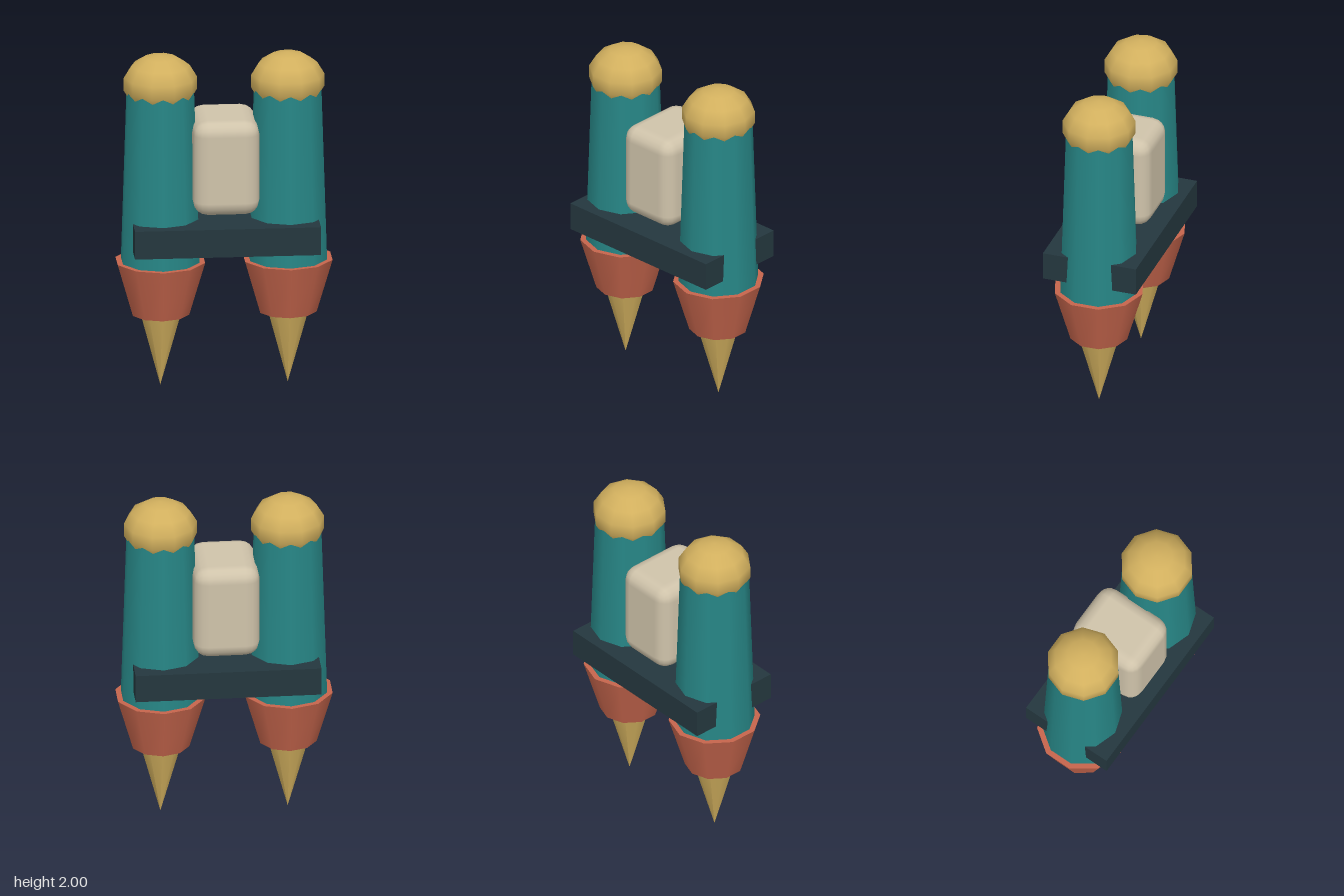
import * as THREE from 'three';
import { RoundedBoxGeometry } from 'three/addons/geometries/RoundedBoxGeometry.js';

const SIDES = 10;

function material(name, color) {
  const m = new THREE.MeshStandardMaterial({ color });
  m.name = name;
  return m;
}

function part(name, geometry, mat, y, parent) {
  const mesh = new THREE.Mesh(geometry, mat);
  mesh.name = name;
  mesh.position.y = y;
  parent.add(mesh);
  return mesh;
}

// Tapered round part spanning two heights, added to the parent
function taper(name, rTop, rBottom, yBottom, yTop, mat, parent) {
  const geometry = new THREE.CylinderGeometry(rTop, rBottom, yTop - yBottom, SIDES);
  return part(name, geometry, mat, (yTop + yBottom) / 2, parent);
}

export function createModel() {
  const teal = material('teal', 0x278686);
  const gold = material('gold', 0xd2b05e);
  const coral = material('coral', 0xc5654c);
  const dark = material('dark slate', 0x24373e);
  const cream = material('cream', 0xcfc3aa);

  const model = new THREE.Group();
  model.name = 'jetpack';

  // Twin thrusters: tank, domed cap, nozzle and flame
  for (const [name, x] of [['leftThruster', 0.37], ['rightThruster', -0.37]]) {
    const thruster = new THREE.Group();
    thruster.name = name;
    thruster.position.x = x;
    taper('tank', 0.2, 0.236, 0.7, 1.82, teal, thruster);
    const cap = part('cap', new THREE.SphereGeometry(0.218, SIDES, 7), gold, 1.825, thruster);
    cap.scale.y = 0.8;
    taper('nozzle', 0.267, 0.172, 0.435, 0.755, coral, thruster);
    const flame = new THREE.ConeGeometry(0.126, 0.45, SIDES).rotateX(Math.PI);
    part('flame', flame, gold, 0.225, thruster);
    model.add(thruster);
  }

  // Rounded pack between the tanks
  part('centrePack', new RoundedBoxGeometry(0.385, 0.57, 0.47, 2, 0.085), cream, 1.355, model);

  // Bracket that holds both tanks
  part('bracket', new THREE.BoxGeometry(1.08, 0.168, 0.57), dark, 0.933, model);

  return model;
}
